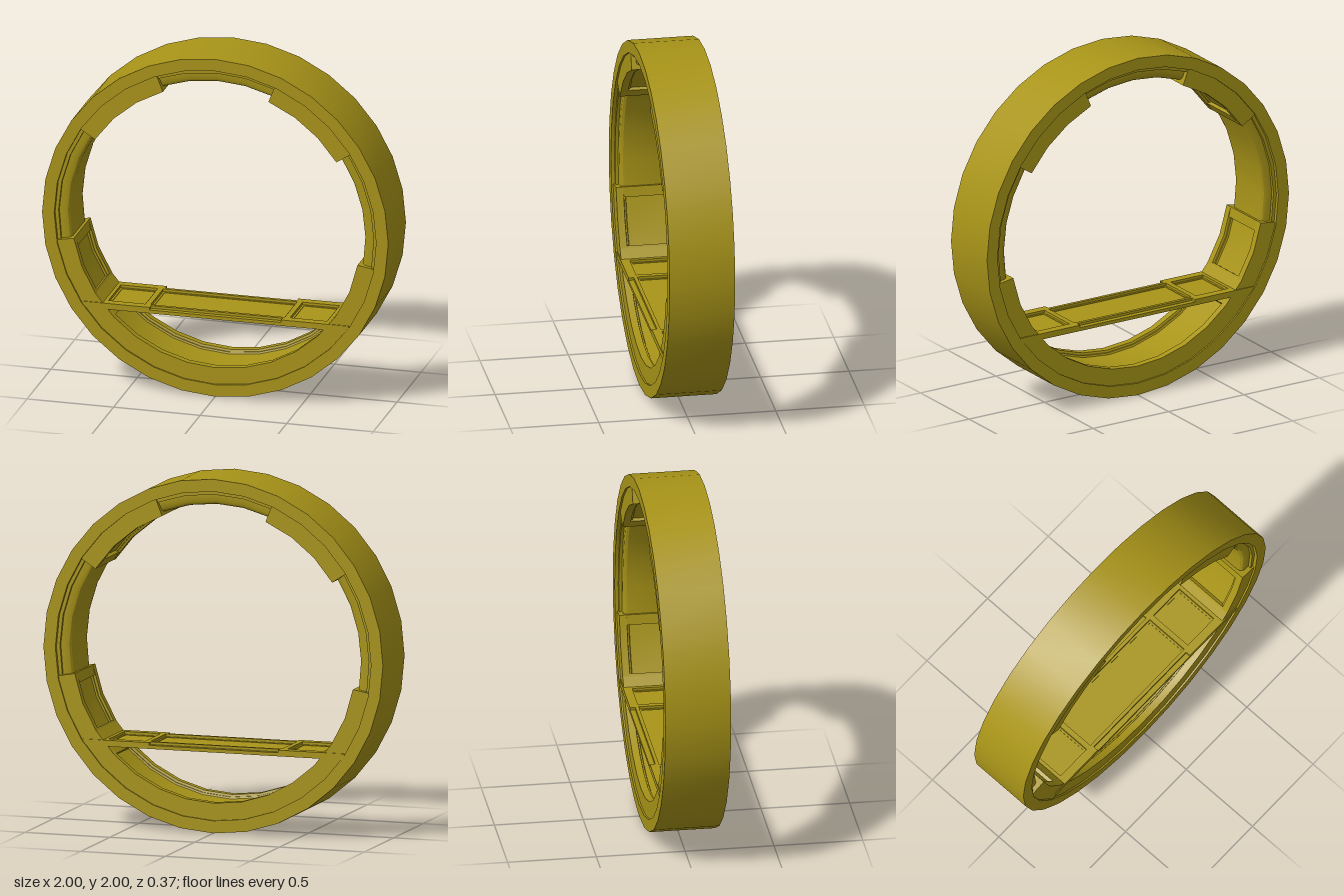
import * as THREE from 'three';
import { toCreasedNormals, mergeGeometries } from 'three/addons/utils/BufferGeometryUtils.js';

const mat = new THREE.MeshStandardMaterial({ color: 0xa89418, side: THREE.DoubleSide });
const rad = THREE.MathUtils.degToRad;
const STEP = 11.25; // 32-sided ring

// Sweep a closed (radius, z) profile around the z axis from angle a0 to a1 (degrees)
function sector(name, profile, a0, a1) {
  const pts = profile.map(([r, z]) => new THREE.Vector2(r, z));
  const full = a1 - a0 >= 360;
  const segs = Math.max(1, Math.round((a1 - a0) / STEP));
  const body = new THREE.LatheGeometry([...pts, pts[0].clone()], segs, rad(a0 + 90), rad(a1 - a0));
  body.rotateX(Math.PI / 2);
  const parts = [toCreasedNormals(body, rad(25))];
  if (!full) {
    for (const a of [a0, a1]) {
      const cap = new THREE.ShapeGeometry(new THREE.Shape(pts));
      cap.rotateX(Math.PI / 2).rotateZ(rad(a));
      parts.push(cap.toNonIndexed());
    }
  }
  const mesh = new THREE.Mesh(mergeGeometries(parts), mat);
  mesh.name = name;
  return mesh;
}

// Complete a half profile (z >= 0, inner to outer) by mirroring it in z
function mirrorProfile(half) {
  const lower = half.map(([r, z]) => [r, -z]);
  return [...lower, ...half.slice().reverse()];
}

const RIM = mirrorProfile([[0.93, 0.185], [1, 0.185]]);
// Thick lining with a sunken, bevelled panel
const THICK = mirrorProfile([[0.855, 0.118], [0.845, 0.122], [0.845, 0.13], [0.832, 0.134], [0.832, 0.175], [0.94, 0.175]]);
const BAR = mirrorProfile([[0.832, 0.134], [0.87, 0.134]]);
// Thin lining with a stepped, rounded edge
const THIN = mirrorProfile([[0.85, 0.115], [0.853, 0.13], [0.862, 0.142], [0.875, 0.148],
  [0.91, 0.148], [0.91, 0.165], [0.94, 0.165]]);

// Thick section plus the bars that close its panel at both ends
function thickSection(name, a0, a1, bar0, bar1) {
  const g = new THREE.Group();
  g.name = name;
  g.add(sector('frame', THICK, a0, a1));
  g.add(sector('startBar', BAR, a0, a0 + bar0));
  g.add(sector('endBar', BAR, a1 - bar1, a1));
  return g;
}

function rectPath(Type, x0, x1, z) {
  return new Type([[x0, -z], [x1, -z], [x1, z], [x0, z]].map(p => new THREE.Vector2(...p)));
}

// One layer of the shelf: an outline with three windows, notched along the middle of both edges
function shelfLayer(y0, y1, grow, notch) {
  const w = 0.77, d = 0.18, m = 0.38;
  const s = new THREE.Shape([[-w, -d], [-m, -d], [-m, -d + notch], [m, -d + notch], [m, -d], [w, -d],
    [w, d], [m, d], [m, d - notch], [-m, d - notch], [-m, d], [-w, d]].map(p => new THREE.Vector2(...p)));
  for (const [x0, x1] of [[-0.62, -0.43], [-0.375, 0.375], [0.43, 0.62]]) {
    s.holes.push(rectPath(THREE.Path, x0 - grow, x1 + grow, 0.118 + grow));
  }
  const geo = new THREE.ExtrudeGeometry(s, { depth: y1 - y0, bevelEnabled: false });
  geo.rotateX(-Math.PI / 2).translate(0, y0, 0);
  const mesh = new THREE.Mesh(geo, mat);
  mesh.name = 'shelfFrame';
  return mesh;
}

export function createModel() {
  const model = new THREE.Group();
  model.name = 'ringWithShelf';

  // Ring and its linings, centred one unit above the ground
  const ring = new THREE.Group();
  ring.name = 'ring';
  ring.position.y = 1;
  ring.add(sector('outerRim', RIM, 0, 360));
  ring.add(sector('topLining', THIN, 68.5, 111.5));
  ring.add(sector('leftLining', THIN, -10, 33));
  ring.add(sector('rightLining', THIN, 147, 190));
  ring.add(thickSection('upperLeftPanel', 33, 68.5, 4, 4));
  ring.add(thickSection('upperRightPanel', 111.5, 147, 4, 4));
  ring.add(thickSection('lowerLeftPanel', -33.75, -10, 1, 4));
  ring.add(thickSection('lowerRightPanel', 190, 213.75, 4, 1));
  ring.add(thickSection('bottomPanel', 213.75, 326.25, 11.25, 11.25));
  model.add(ring);

  // Shelf across the lower part, with three sunken panels on both faces
  const shelf = new THREE.Group();
  shelf.name = 'shelf';
  shelf.add(shelfLayer(0.455, 0.462, 0.012, 0));
  shelf.add(shelfLayer(0.462, 0.475, 0, 0));
  shelf.add(shelfLayer(0.475, 0.49, 0.012, 0.03));
  const web = new THREE.Mesh(new THREE.BoxGeometry(1.3, 0.006, 0.25), mat);
  web.name = 'shelfPanels';
  web.position.y = 0.469;
  shelf.add(web);
  model.add(shelf);

  return model;
}
